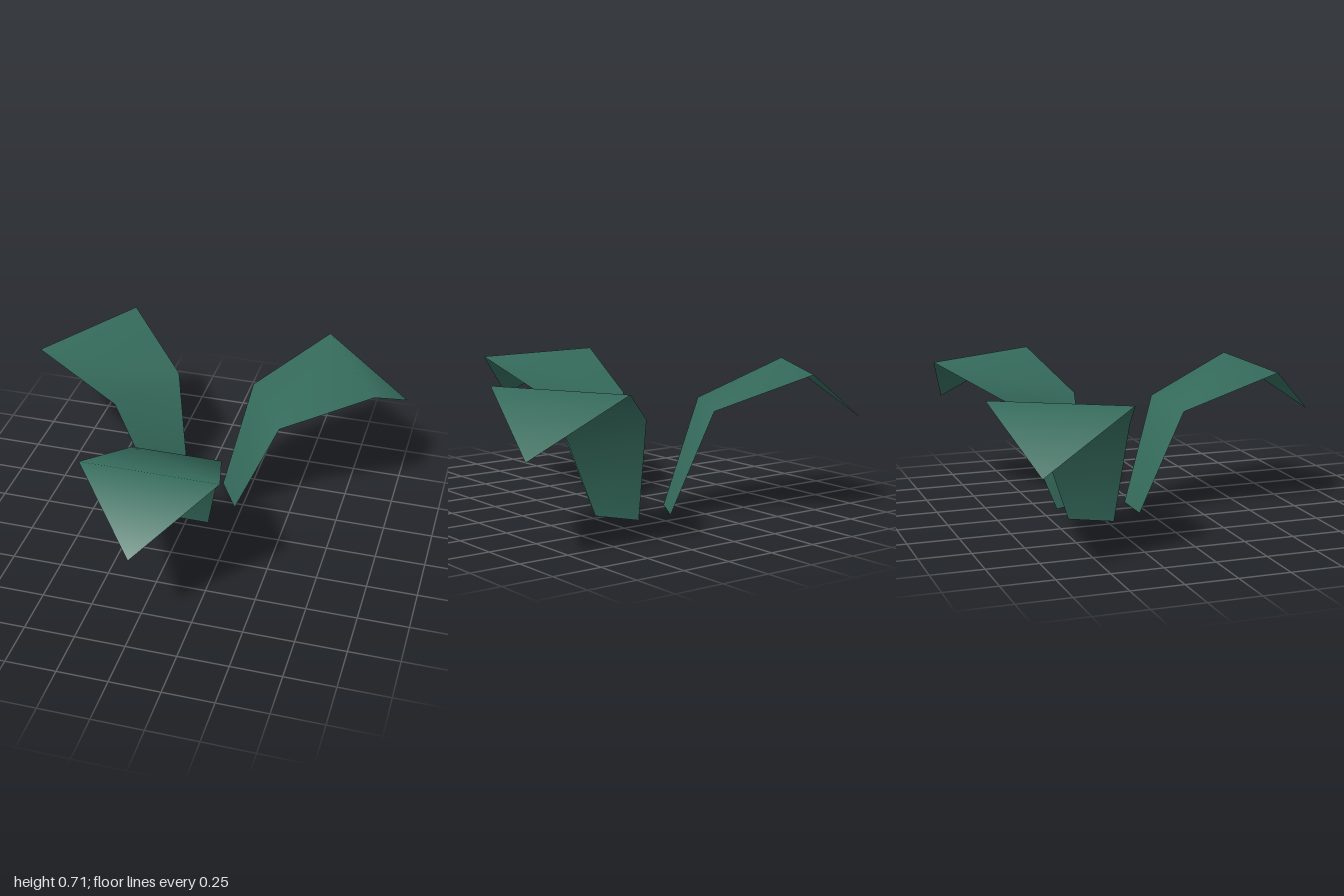
import * as THREE from 'three';

// Leaf cross-sections: distance from the centre, height, half width
const SECTIONS = [
  [0.18, 0, 0.115],
  [0.37, 0.53, 0.23],
  [0.825, 0.715, 0.34],
];
const TIP = [0, 0.45, 1.155];
const CENTRE_Z = -0.225;

// One thin folded blade growing outward along +z
function leafGeometry() {
  const points = [];
  const faces = [];
  for (const [r, y, w] of SECTIONS) points.push(-w, y, r, w, y, r);
  points.push(...TIP);
  for (let i = 0; i < SECTIONS.length - 1; i++) {
    const a = i * 2;
    faces.push(a, a + 2, a + 3, a, a + 3, a + 1);
  }
  const last = (SECTIONS.length - 1) * 2;
  faces.push(last, last + 2, last + 1);

  const geometry = new THREE.BufferGeometry();
  geometry.setAttribute('position', new THREE.Float32BufferAttribute(points, 3));
  geometry.setIndex(faces);
  geometry.computeVertexNormals();
  return geometry;
}

export function createModel() {
  const plant = new THREE.Group();
  plant.name = 'plant';
  const material = new THREE.MeshStandardMaterial({ color: 0x356b5b, side: THREE.DoubleSide });
  const geometry = leafGeometry();

  // Three equal leaves around the centre
  ['frontLeaf', 'leftLeaf', 'rightLeaf'].forEach((name, i) => {
    const leaf = new THREE.Mesh(geometry, material);
    leaf.name = name;
    leaf.position.z = CENTRE_Z;
    leaf.rotation.y = (i * Math.PI * 2) / 3;
    plant.add(leaf);
  });
  return plant;
}
